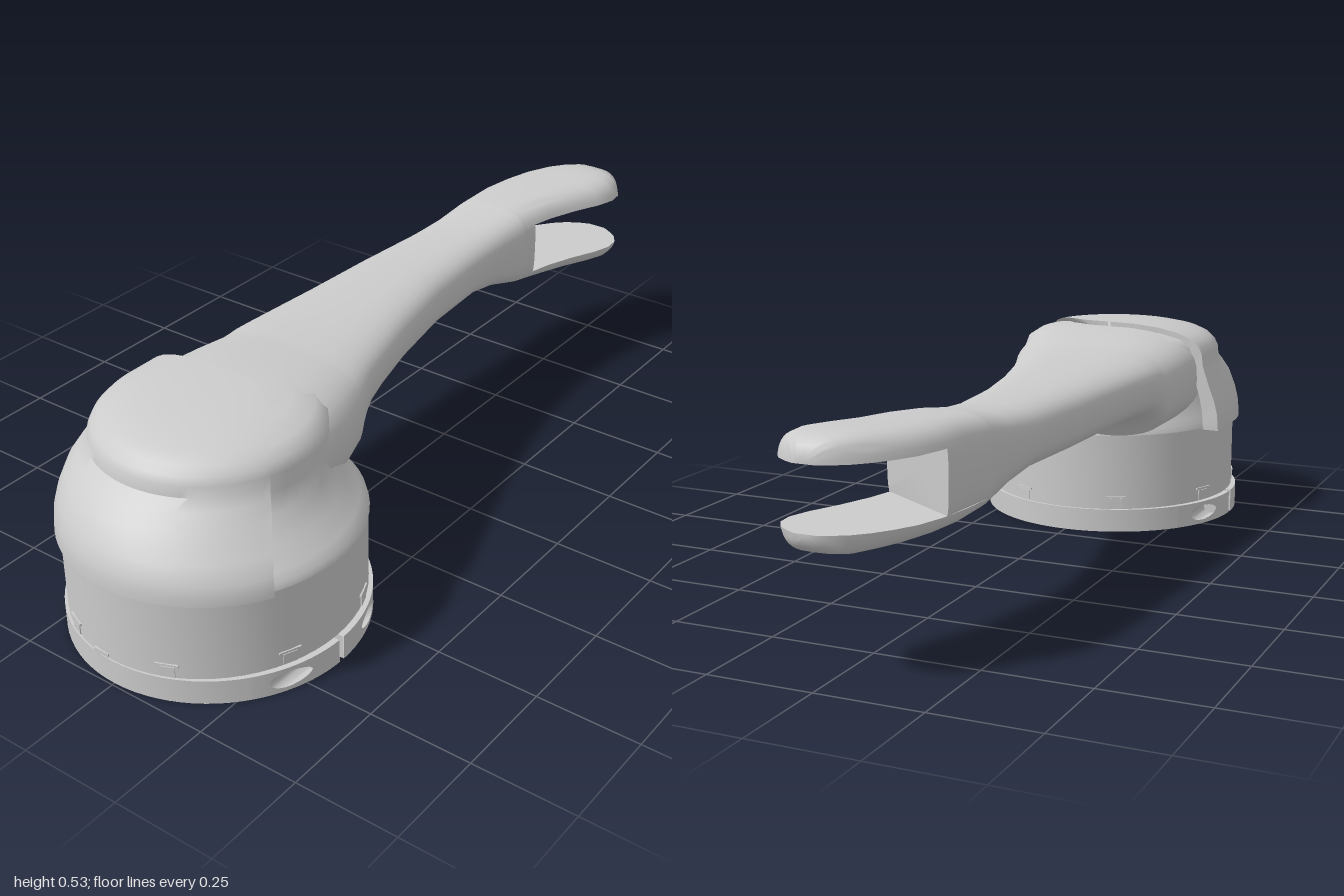
import * as THREE from 'three';
import { toCreasedNormals } from 'three/addons/utils/BufferGeometryUtils.js';

const mat = new THREE.MeshStandardMaterial({ color: 0xcccccc, side: THREE.DoubleSide });
const CZ = 0.647; // centre of the round mount
const V = (x, y, z) => new THREE.Vector3(x, y, z);

function add(parent, name, geo) {
  const m = new THREE.Mesh(geo, mat);
  m.name = name;
  parent.add(m);
  return m;
}

// Skin a list of point rings; closed rings may get end caps
function loft(rings, closed = true, caps = true) {
  const pos = [], n = rings[0].length;
  const tri = (...p) => p.forEach(v => pos.push(v.x, v.y, v.z));
  for (let i = 0; i + 1 < rings.length; i++) {
    for (let j = 0; j < (closed ? n : n - 1); j++) {
      const k = (j + 1) % n, a = rings[i], b = rings[i + 1];
      tri(a[j], a[k], b[j]);
      tri(a[k], b[k], b[j]);
    }
  }
  if (closed && caps) [rings[0], rings.at(-1)].forEach((r, end) => {
    const c = r.reduce((s, p) => s.add(p), V(0, 0, 0)).divideScalar(n);
    r.forEach((p, j) => end ? tri(p, r[(j + 1) % n], c) : tri(r[(j + 1) % n], p, c));
  });
  const g = new THREE.BufferGeometry();
  g.setAttribute('position', new THREE.Float32BufferAttribute(pos, 3));
  return toCreasedNormals(g, 0.75);
}

// Arm sections: z, right edge, left edge, bottom, top
const ARM = [
  [0.6, -0.285, 0.22, 0.262, 0.512], [0.5, -0.288, 0.213, 0.262, 0.514],
  [0.4, -0.285, 0.19, 0.262, 0.505], [0.315, -0.279, 0.158, 0.262, 0.496],
  [0.298, -0.277, 0.15, 0.283, 0.494], [0.27, -0.275, 0.138, 0.308, 0.493],
  [0.22, -0.271, 0.118, 0.326, 0.49], [0.15, -0.266, 0.097, 0.332, 0.488],
  [0, -0.255, 0.056, 0.333, 0.486], [-0.2, -0.244, 0.016, 0.333, 0.485],
  [-0.4, -0.228, -0.001, 0.333, 0.484], [-0.5, -0.22, 0.001, 0.318, 0.49],
  [-0.6, -0.212, 0.013, 0.292, 0.506], [-0.7, -0.202, 0.033, 0.283, 0.515],
  [-0.78, -0.19, 0.062, 0.28, 0.517], [-0.85, -0.169, 0.094, 0.278, 0.52],
  [-0.9, -0.141, 0.108, 0.276, 0.522], [-0.94, -0.111, 0.103, 0.275, 0.52],
  [-0.97, -0.08, 0.083, 0.281, 0.515], [-0.99, -0.046, 0.054, 0.295, 0.5],
  [-1, -0.02, 0.035, 0.31, 0.48]];
const SIDES = 40;

// Rounded section; heights are limited to lo..hi along its outline
function armPoint(z, j, lo = 0, hi = 1) {
  let i = 0;
  while (i < ARM.length - 2 && ARM[i + 1][0] > z) i++;
  const t = (ARM[i][0] - z) / (ARM[i][0] - ARM[i + 1][0]);
  const [, l, r, b, top] = ARM[i].map((v, k) => THREE.MathUtils.lerp(v, ARM[i + 1][k], t));
  const a = j / SIDES * Math.PI * 2, h = (top - b) / 2, mid = (top + b) / 2;
  const power = 0.68 - 0.16 * THREE.MathUtils.smoothstep(-z, 0.4, 0.7);
  const se = v => Math.sign(v) * Math.abs(v) ** power;
  const free = mid + h * se(Math.sin(a)), y = Math.min(hi, Math.max(lo, free));
  let c = Math.cos(a);
  if (y !== free) {
    const s = Math.min(1, Math.abs((y - mid) / h) ** (1 / power));
    c = Math.sign(c) * Math.min(Math.sqrt(1 - s * s), 1);
  }
  return V((l + r) / 2 + (r - l) / 2 * se(c), y, z);
}

const armPart = (zs, lo, hi) =>
  zs.map(z => Array.from({ length: SIDES }, (_, j) => armPoint(z, j, lo, hi)));

function makeArm() {
  const g = new THREE.Group();
  g.name = 'arm';
  const zs = ARM.map(r => r[0]);
  const tine = zs.filter(z => z <= -0.6);
  add(g, 'lever', loft(armPart(zs.filter(z => z >= -0.6))));
  add(g, 'upperForkTine', loft(armPart(tine, 0.465)));
  add(g, 'lowerForkTine', loft(armPart(tine, 0, 0.325)));
  // Core between the tines, ending in a slanted wall
  const core = armPart([-0.6, -0.63, -0.7], 0.322, 0.468);
  core[2].forEach((p, j) => p.copy(armPoint(-0.657 + 0.565 * p.x, j, 0.322, 0.468)));
  core[1].forEach((p, j) => p.lerpVectors(core[0][j], core[2][j], 0.5));
  add(g, 'forkRoot', loft(core));
  const socket = add(g, 'pivotSocket', new THREE.CylinderGeometry(0.045, 0.045, 0.006, 24));
  socket.position.set(-0.01, 0.278, -0.88);
  return g;
}

// Head layers: y, centre x, centre z, radius
const BODY = [[0.26, 0, 0.645, 0.335], [0.275, 0, 0.645, 0.331], [0.29, -0.005, 0.645, 0.318],
  [0.33, -0.015, 0.64, 0.292], [0.37, -0.026, 0.622, 0.264], [0.41, -0.032, 0.605, 0.257],
  [0.45, -0.032, 0.605, 0.257], [0.475, -0.033, 0.603, 0.248], [0.493, -0.035, 0.6, 0.222],
  [0.506, -0.035, 0.58, 0.16], [0.512, -0.035, 0.56, 0.01]];
const CAP = [[0.255, 0, 0.648, 0.349], [0.275, 0, 0.648, 0.348], [0.3, -0.003, 0.65, 0.342],
  [0.335, -0.014, 0.653, 0.322], [0.38, -0.034, 0.655, 0.285], [0.41, -0.036, 0.632, 0.272],
  [0.43, -0.036, 0.61, 0.266], [0.455, -0.036, 0.608, 0.264], [0.472, -0.036, 0.605, 0.257],
  [0.488, -0.036, 0.6, 0.243], [0.501, -0.036, 0.592, 0.22], [0.512, -0.036, 0.575, 0.187],
  [0.521, -0.036, 0.552, 0.14], [0.527, -0.036, 0.53, 0.075], [0.528, -0.036, 0.512, 0.004]];

// Parting line of the cap, seen from above
const partZ = x => {
  const d = 1.18 * (x - 0.05);
  return 0.51 + (d + Math.sqrt(d * d + 0.0016)) / 2;
};

function capRing([y, cx, cz, r]) {
  const at = a => {
    const c = Math.cos(a), s = Math.sin(a);
    return V(cx + r * (c < 0 && s < 0 ? -1 : c), y, cz + r * s);
  };
  const limit = dir => {
    let a = Math.PI / 2;
    for (let i = 0; i < 600; i++) {
      const p = at(a + dir * 0.005);
      if (p.z < partZ(p.x)) break;
      a += dir * 0.005;
    }
    return a;
  };
  const a0 = limit(-1), a1 = limit(1), n = 48;
  const pts = Array.from({ length: n + 1 }, (_, i) => at(a0 + (a1 - a0) * i / n));
  // Return the edges inward to show the thickness of the cap
  const inset = p => V(cx + (p.x - cx) * 0.88, y - 0.012 * (y > 0.45), p.z);
  return [inset(pts[0]), ...pts, inset(pts[n])];
}

function makeHead() {
  const g = new THREE.Group();
  g.name = 'head';
  add(g, 'headBody', loft(BODY.map(([y, cx, cz, r]) => Array.from({ length: 56 }, (_, j) => {
    const a = j / 56 * Math.PI * 2;
    return V(cx + r * Math.cos(a), y, cz + r * 1.03 * Math.sin(a));
  }))));
  add(g, 'frontCap', loft(CAP.map(capRing), false));
  return g;
}

const lathe = (pts, start = 0, len = Math.PI * 2, seg = 64) =>
  toCreasedNormals(new THREE.LatheGeometry(pts.map(p => new THREE.Vector2(...p)), seg, start, len), 0.6);

// Half of the split clamp ring, with two tangential screw bores
function clampHalf() {
  const g = new THREE.Group();
  const R = 0.346, RI = 0.255, H = 0.06, end = Math.PI / 2 - 0.022;
  add(g, 'clampFaces', lathe([[R, 0], [RI, 0], [RI, H], [R, H]], -end, 2 * end, 40));
  [[-end, -1.4], [-0.9, 0.9], [1.4, end]].forEach(([a, b]) =>
    add(g, 'clampWall', lathe([[R, 0], [R, H]], a, b - a, 20)));
  for (const s of [-1, 1]) {
    const shape = new THREE.Shape();
    for (let i = 0; i <= 10; i++) shape[i ? 'lineTo' : 'moveTo'](0.9 + 0.05 * i, 0);
    for (let i = 10; i >= 0; i--) shape.lineTo(0.9 + 0.05 * i, H);
    const hole = Array.from({ length: 24 }, (_, i) => {
      const t = i / 24 * Math.PI * 2;
      return new THREE.Vector2(Math.asin((0.315 + 0.02 * Math.cos(t)) / R), 0.03 + 0.02 * Math.sin(t));
    });
    shape.holes.push(new THREE.Path(hole));
    const panel = new THREE.ShapeGeometry(shape), p = panel.attributes.position;
    for (let i = 0; i < p.count; i++) {
      const a = p.getX(i);
      p.setXYZ(i, s * R * Math.sin(a), p.getY(i), R * Math.cos(a));
      panel.attributes.normal.setXYZ(i, s * Math.sin(a), 0, Math.cos(a));
    }
    if (s < 0) panel.index.array.reverse();
    add(g, 'boredWall', panel);
    // Bore lining, trimmed to the round wall
    const lining = [0, 1].map(out => hole.map(h => {
      const x = R * Math.sin(h.x);
      return V(s * x, h.y, out ? R * Math.cos(h.x) : 0.06);
    }));
    add(g, 'screwBore', loft(lining, true, false));
    add(g, 'screw', new THREE.CircleGeometry(0.02, 20)).position.set(s * 0.315, 0.03, 0.07);
    const face = add(g, 'clampEnd', new THREE.PlaneGeometry(R - RI, H));
    face.position.set(s * (R + RI) / 2, H / 2, 0.0066);
  }
  return g;
}

function makeMount() {
  const g = new THREE.Group();
  g.name = 'mount';
  g.position.z = CZ;
  // Collar is slightly oval, longer along the arm
  const oval = 1.035;
  add(g, 'collar', lathe([[0, 0.12], [0.272, 0.12], [0.272, 0.061], [0.332, 0.061], [0.332, 0.265]])
    .scale(1, 1, oval));
  for (let i = 0; i < 2; i++) {
    const half = clampHalf();
    half.name = i ? 'rearClamp' : 'frontClamp';
    half.rotation.y = i * Math.PI;
    g.add(half);
  }
  // Latches around the collar
  for (let i = 0; i < 8; i++) {
    const a = (i + 0.5) * Math.PI / 4;
    const r = 0.332 / Math.hypot(Math.sin(a), Math.cos(a) / oval);
    const slot = new THREE.Group();
    slot.name = 'latch';
    slot.rotation.y = a;
    add(slot, 'latchLip', new THREE.BoxGeometry(0.052, 0.005, 0.014)).position.set(0, 0.094, r - 0.004);
    add(slot, 'latchBlock', new THREE.BoxGeometry(0.034, 0.026, 0.014)).position.set(0, 0.076, r - 0.005);
    add(slot, 'innerRib', new THREE.BoxGeometry(0.03, 0.055, 0.02)).position.set(0, 0.09, 0.265);
    g.add(slot);
  }
  add(g, 'indexTab', new THREE.BoxGeometry(0.042, 0.01, 0.014)).position.set(-0.033, 0.067, 0.338);
  return g;
}

export function createModel() {
  const model = new THREE.Group();
  model.name = 'leverArm';
  model.add(makeMount(), makeHead(), makeArm());
  return model;
}
